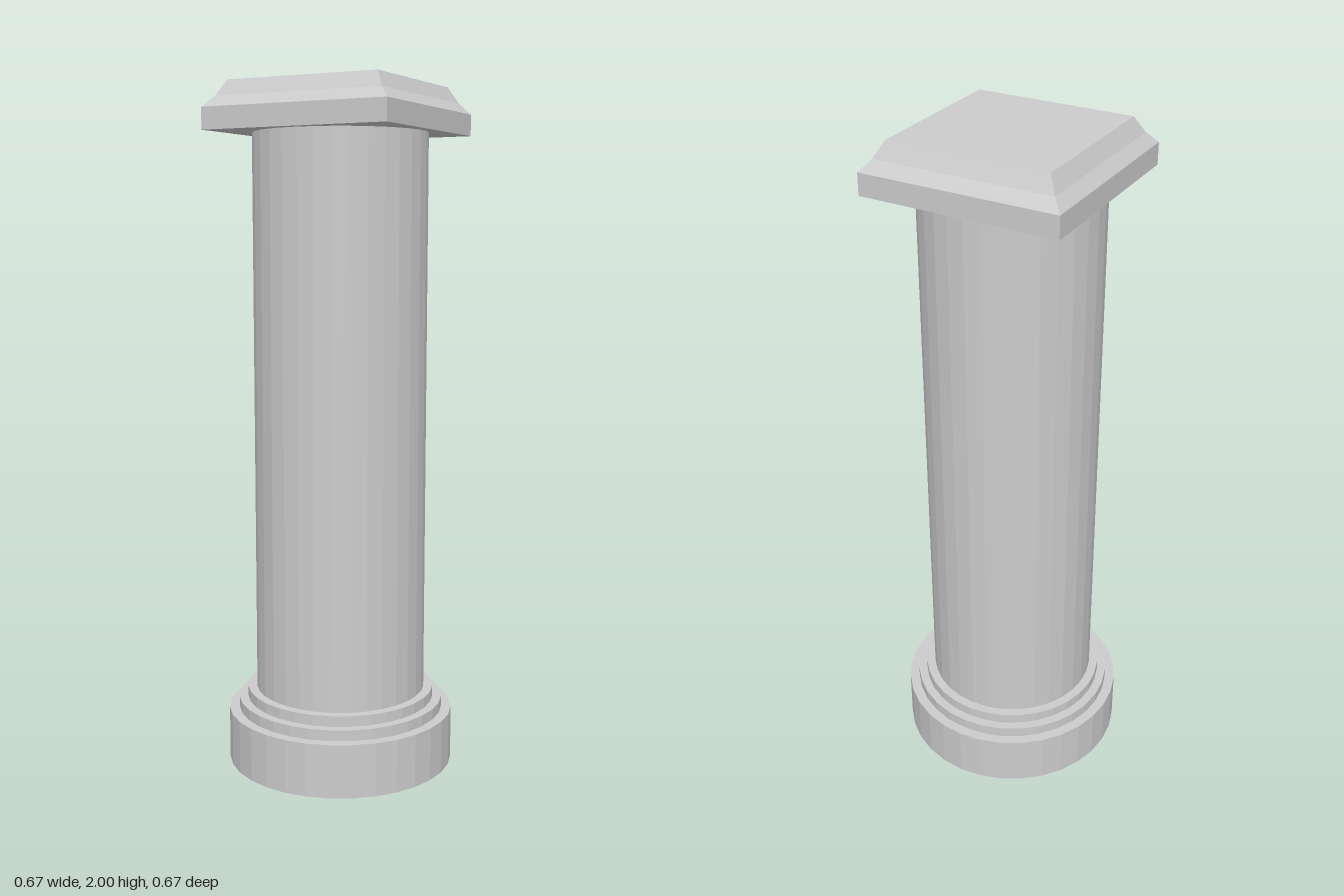
import * as THREE from 'three';

const SIDES = 32;

export function createModel() {
  const group = new THREE.Group();
  const material = new THREE.MeshStandardMaterial({ color: 0xcccccc, flatShading: true });

  const add = (name, geometry) => {
    const mesh = new THREE.Mesh(geometry, material);
    mesh.name = name;
    group.add(mesh);
    return mesh;
  };

  // Round drum standing between two heights
  const drum = (name, radius, bottom, top) => {
    const mesh = add(name, new THREE.CylinderGeometry(radius, radius, top - bottom, SIDES));
    mesh.position.y = (bottom + top) / 2;
  };

  // Stepped round base and shaft
  drum('basePlinth', 0.337, 0, 0.158);
  drum('lowerBaseRing', 0.307, 0.158, 0.19);
  drum('upperBaseRing', 0.28, 0.19, 0.221);
  drum('shaft', 0.253, 0.221, 1.862);

  // Square capital: a vertical band below a hollowed bevel, as [half width, height]
  const profile = [
    [0, 1.862], [0.285, 1.862], [0.285, 1.924],
    [0.257, 1.955], [0.232, 2], [0, 2],
  ].map(([half, y]) => new THREE.Vector2(half * Math.SQRT2, y));
  add('capital', new THREE.LatheGeometry(profile, 4, Math.PI / 4));

  return group;
}
